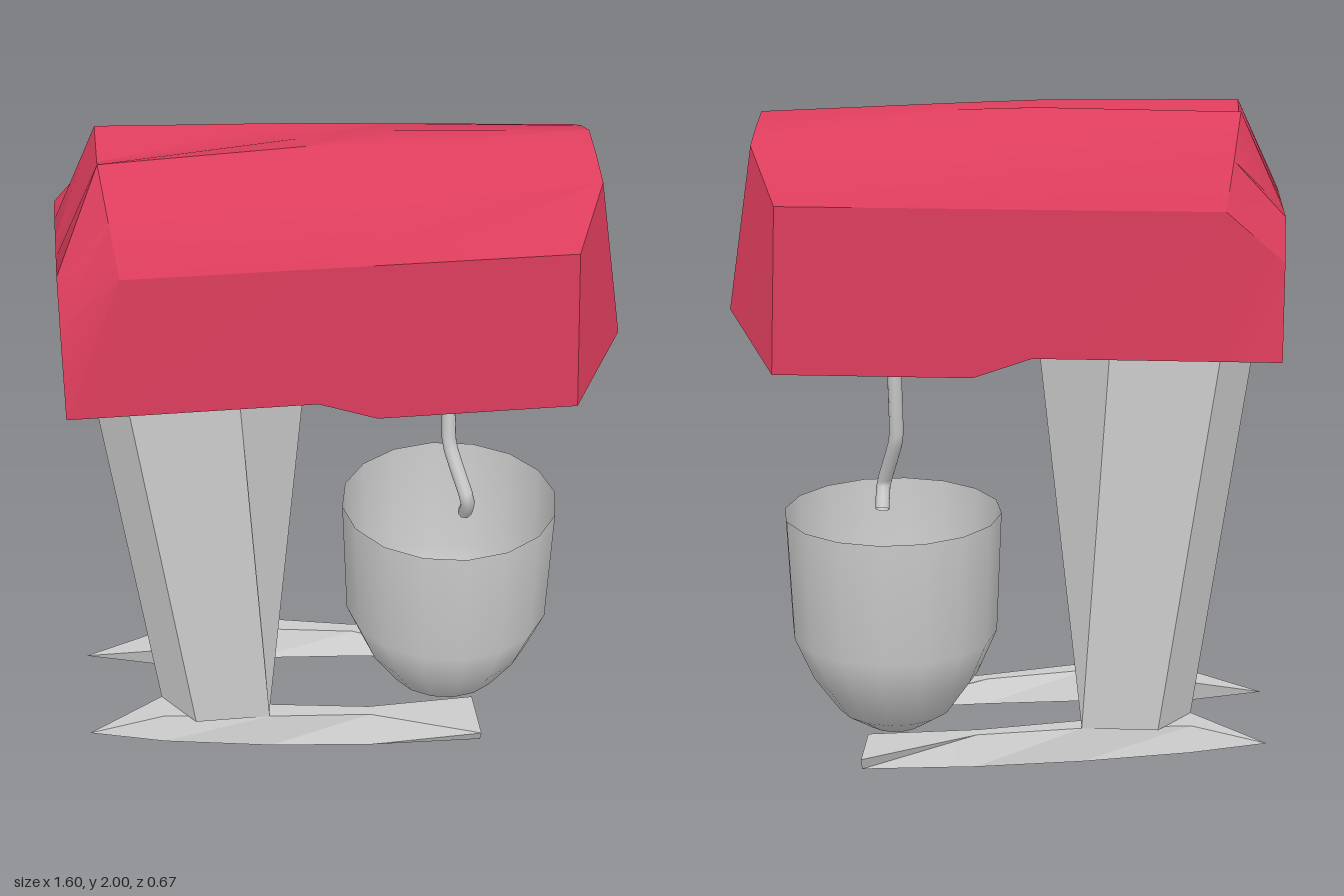
import * as THREE from 'three';
import { toCreasedNormals } from 'three/addons/utils/BufferGeometryUtils.js';

const grey = new THREE.MeshStandardMaterial({ color: 0xcccccc });
const greyThin = new THREE.MeshStandardMaterial({ color: 0xcccccc, side: THREE.DoubleSide });
const red = new THREE.MeshStandardMaterial({ color: 0xdc3d5c, side: THREE.DoubleSide });

// Skin a series of matching cross-sections; empty triangles are skipped.
function loft(rings, { closed = true, capStart = false, capEnd = false, crease = 0.5 } = {}) {
  const pos = [];
  const same = (p, q) => p.every((v, i) => Math.abs(v - q[i]) < 1e-6);
  const tri = (a, b, c) => {
    if (!same(a, b) && !same(b, c) && !same(a, c)) pos.push(...a, ...b, ...c);
  };
  const n = rings[0].length;
  for (let i = 0; i < rings.length - 1; i++) {
    for (let j = 0; j < (closed ? n : n - 1); j++) {
      const k = (j + 1) % n;
      const a = rings[i][j], b = rings[i + 1][j], c = rings[i + 1][k], d = rings[i][k];
      tri(a, b, c);
      tri(a, c, d);
    }
  }
  const cap = (ring, flip) => {
    const mid = [0, 1, 2].map((i) => ring.reduce((s, p) => s + p[i], 0) / n);
    for (let j = 0; j < n; j++) {
      const k = (j + 1) % n;
      if (flip) tri(mid, ring[k], ring[j]);
      else tri(mid, ring[j], ring[k]);
    }
  };
  if (capStart) cap(rings[0], false);
  if (capEnd) cap(rings[rings.length - 1], true);
  const geo = new THREE.BufferGeometry();
  geo.setAttribute('position', new THREE.Float32BufferAttribute(pos, 3));
  return toCreasedNormals(geo, crease);
}

export function createModel() {
  const model = new THREE.Group();
  model.name = 'standMixer';
  const add = (name, geo, mat = grey) => {
    const mesh = new THREE.Mesh(geo, mat);
    mesh.name = name;
    model.add(mesh);
    return mesh;
  };

  // Motor head: half sections from top centre to bottom edge, back to front
  const halves = [
    [[-0.8, 1.72, 0], [-0.8, 1.72, 0.12], [-0.8, 1.72, 0.24], [-0.8, 1.6, 0.3], [-0.8, 1.32, 0.335]],
    [[-0.67, 1.95, 0], [-0.67, 2, 0.13], [-0.65, 1.88, 0.25], [-0.63, 1.75, 0.335], [-0.63, 1.32, 0.335]],
    [[-0.09, 1.99, 0], [-0.09, 2, 0.08], [-0.09, 1.885, 0.25], [-0.09, 1.75, 0.335], [-0.09, 1.32, 0.335]],
    [[0.15, 2, 0], [0.15, 1.99, 0.07], [0.12, 1.885, 0.25], [0.08, 1.75, 0.335], [0.08, 1.26, 0.335]],
    [[0.725, 1.97, 0], [0.725, 1.94, 0.1], [0.725, 1.9, 0.2], [0.64, 1.75, 0.335], [0.66, 1.26, 0.335]],
    [[0.8, 1.42, 0], [0.8, 1.42, 0.1], [0.8, 1.42, 0.2], [0.8, 1.42, 0.2], [0.66, 1.26, 0.335]],
    [[0.66, 1.26, 0], [0.66, 1.26, 0.17], [0.66, 1.26, 0.335], [0.66, 1.26, 0.335], [0.66, 1.26, 0.335]],
  ];
  const headRings = halves.map((h) => [
    ...h.slice().reverse(),
    ...h.slice(1).map(([x, y, z]) => [x, y, -z]),
  ]);
  add('head', loft(headRings, { closed: false, capStart: true }), red);

  // Underside: flat at the back, stepping down to a hollow around the hook
  const floorRows = [
    [-0.8, 1.32, 1.32], [-0.09, 1.32, 1.32], [0.08, 1.26, 1.26],
    [0.24, 1.26, 1.42], [0.55, 1.26, 1.42], [0.66, 1.26, 1.26],
  ].map(([x, edge, mid]) => [
    [x, edge, -0.335], [x, mid, -0.18], [x, mid, 0.18], [x, edge, 0.335],
  ]);
  add('headUnderside', loft(floorRows, { closed: false }), greyThin);

  // Column: eight sides, leaning outwards towards the top
  const columnRing = (y, front, side, rear, back, frontZ) => {
    const half = [[front, frontZ], [side, 0.26], [rear, 0.26], [back, 0.12]];
    return [
      ...half.map(([x, z]) => [x, y, z]),
      ...half.slice().reverse().map(([x, z]) => [x, y, -z]),
    ];
  };
  add('column', loft([
    columnRing(0.15, -0.24, -0.24, -0.47, -0.57, 0.245),
    columnRing(1.33, -0.09, -0.31, -0.63, -0.73, 0.055),
  ], { capStart: true, capEnd: true, crease: 0.1 }));

  // Feet: x, then [y, z] of outer bottom, outer top, inner top, inner bottom
  const footStations = [
    [-0.8, [0.09, 0.2], [0.09, 0.2], [0.09, 0.2], [0.09, 0.2]],
    [-0.57, [0.075, 0.25], [0.15, 0.22], [0.15, 0.12], [0.08, 0.14]],
    [-0.24, [0.05, 0.28], [0.15, 0.26], [0.15, 0.2], [0.06, 0.16]],
    [0.08, [0.025, 0.285], [0.11, 0.24], [0.11, 0.2], [0.045, 0.15]],
    [0.43, [0, 0.27], [0.04, 0.29], [0.045, 0.11], [0.035, 0.11]],
  ];
  for (const side of [1, -1]) {
    const rings = footStations.map(([x, ...pts]) => {
      const ring = pts.map(([y, z]) => [x, y, z * side]);
      return side > 0 ? ring : ring.reverse();
    });
    add(side > 0 ? 'frontFoot' : 'backFoot', loft(rings, { capEnd: true, crease: 0.15 }));
  }

  // Bowl: open, thin shell
  const bowlProfile = [
    [0, 0.03], [0.09, 0.045], [0.18, 0.105], [0.26, 0.22], [0.32, 0.36], [0.335, 0.745],
  ].map(([r, y]) => new THREE.Vector2(r, y));
  add('bowl', new THREE.LatheGeometry(bowlProfile, 16), greyThin).position.x = 0.355;

  // Mixing hook: bent rod reaching into the bowl
  const bends = [
    [0.345, 1.42, 0], [0.345, 1.2, 0], [0.345, 0.97, 0.025], [0.395, 0.8, 0.1], [0.395, 0.73, 0.055],
  ].map((p) => new THREE.Vector3(...p));
  const hookPath = new THREE.CatmullRomCurve3(bends, false, 'catmullrom', 0.2);
  add('hook', new THREE.TubeGeometry(hookPath, 20, 0.022, 8), greyThin);

  return model;
}
